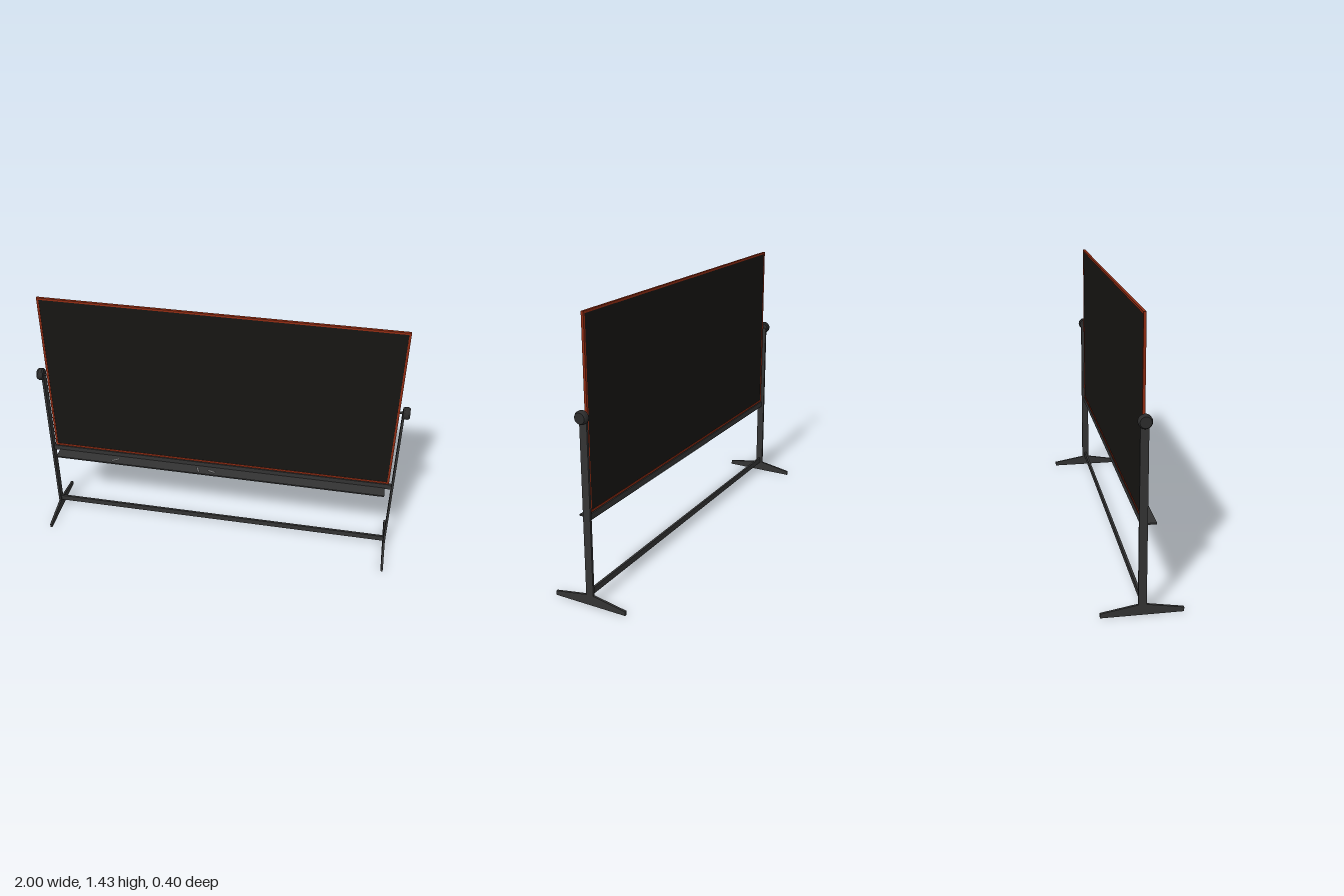
import * as THREE from 'three';

const mat = (color) => new THREE.MeshStandardMaterial({ color });

export function createModel() {
  const root = new THREE.Group();
  const metal = mat(0x333333), red = mat(0x8f2b12), slate = mat(0x171513), white = mat(0xcccccc);

  const add = (name, geo, material, x = 0, y = 0, z = 0, parent = root) => {
    const m = new THREE.Mesh(geo, material);
    m.name = name;
    m.position.set(x, y, z);
    parent.add(m);
    return m;
  };
  const box = (name, w, h, d, material, x, y, z, parent) =>
    add(name, new THREE.BoxGeometry(w, h, d), material, x, y, z, parent);

  // Writing panel, slightly recessed in its frame
  const W = 0.948, B = 0.477, T = 1.432, F = 0.011;
  const rect = (shape, x, b, t) =>
    shape.moveTo(-x, b).lineTo(x, b).lineTo(x, t).lineTo(-x, t).closePath();
  const frame = rect(new THREE.Shape(), W, B, T);
  frame.holes.push(rect(new THREE.Path(), W - F, B + F, T - F));
  add('boardFrame', new THREE.ExtrudeGeometry(frame, { depth: 0.013, bevelEnabled: false }), red, 0, 0, -0.0065);
  box('writingPanel', 2 * (W - F), T - B - 2 * F, 0.009, slate, 0, (T + B) / 2, 0);

  // Cross rails between the posts
  box('upperRail', 1.93, 0.032, 0.012, metal, 0, 0.455, 0);
  box('lowerRail', 1.93, 0.032, 0.012, metal, 0, 0.066, 0);

  // Tray on the front with chalk sticks
  box('tray', 1.858, 0.008, 0.068, metal, 0, 0.441, 0.038);
  for (const [x, z, length, angle] of [
    [-0.587, 0.045, 0.04, 0.55], [-0.107, 0.045, 0.034, -1.15], [-0.03, 0.046, 0.038, -0.25],
  ]) {
    const geo = new THREE.CylinderGeometry(0.004, 0.004, length, 10).rotateZ(Math.PI / 2);
    add('chalk', geo, white, x, 0.449, z).rotation.y = angle;
  }

  // Tapered foot outline: shape x runs along z
  const foot = new THREE.Shape([
    [-0.2, 0], [0.2, 0], [0.2, 0.022], [0.02, 0.053], [-0.02, 0.053], [-0.2, 0.022],
  ].map(([x, y]) => new THREE.Vector2(x, y)));

  // Pivot knob profile: radius and distance outward
  const knob = [
    [0, 0], [0.027, 0], [0.033, 0.008], [0.033, 0.026], [0.027, 0.036], [0, 0.036],
  ].map(([r, h]) => new THREE.Vector2(r, h));
  const knobMetal = mat(0x2b2b2b);
  knobMetal.flatShading = true;

  for (const side of [-1, 1]) {
    const stand = new THREE.Group();
    stand.name = side > 0 ? 'leftStand' : 'rightStand';
    root.add(stand);
    box('post', 0.012, 0.91, 0.04, metal, side * 0.968, 0.5, 0, stand);
    const footGeo = new THREE.ExtrudeGeometry(foot, { depth: 0.012, bevelEnabled: false });
    footGeo.translate(0, 0, -0.006).rotateY(Math.PI / 2);
    add('foot', footGeo, metal, side * 0.968, 0, 0, stand);
    add('pivotKnob', new THREE.LatheGeometry(knob, 24).rotateZ(-side * Math.PI / 2),
      knobMetal, side * 0.964, 0.956, 0, stand);
    add('pivotAxle', new THREE.CylinderGeometry(0.006, 0.006, 0.03, 12).rotateZ(Math.PI / 2),
      metal, side * 0.956, 0.956, 0, stand);
  }
  return root;
}
